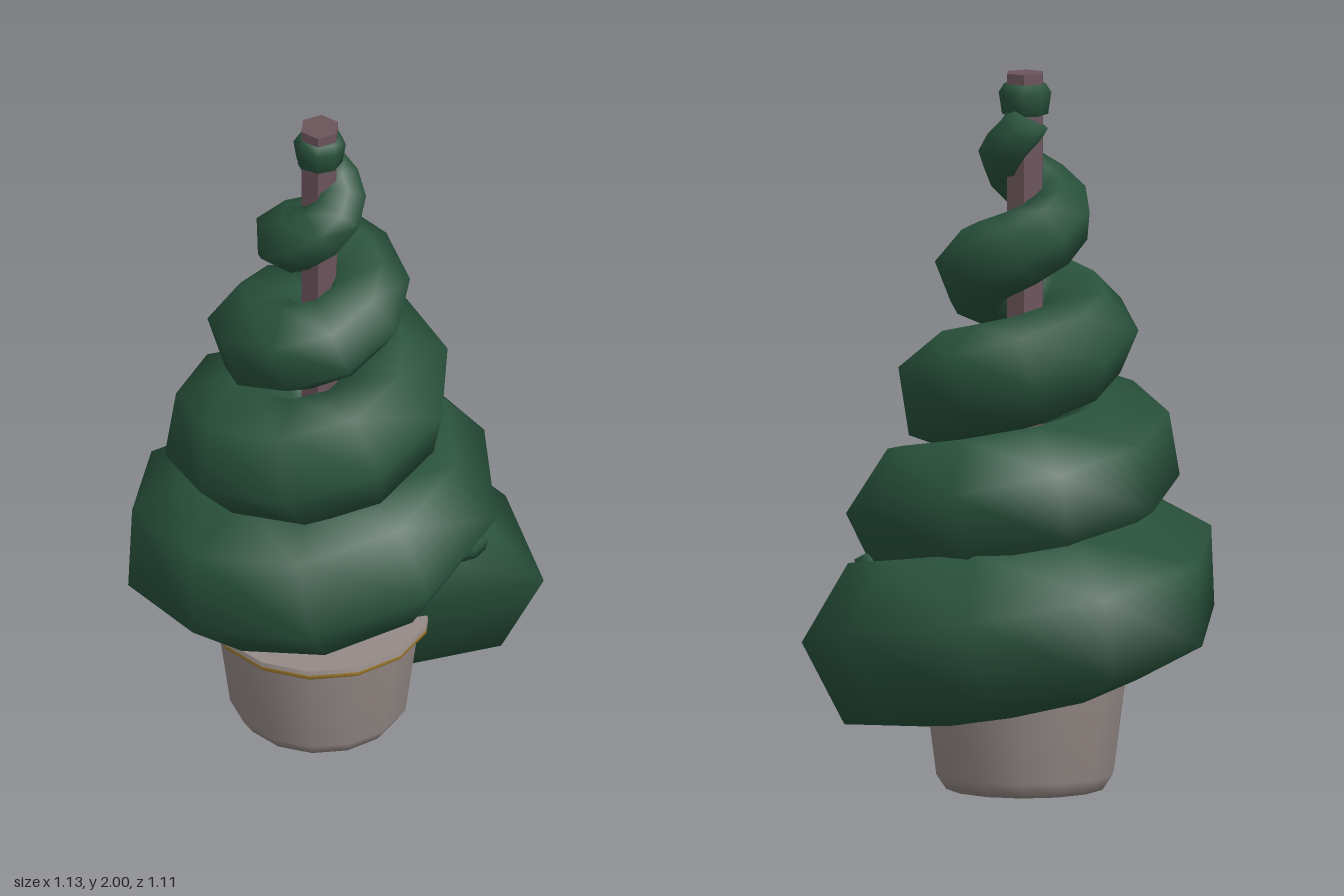
import * as THREE from 'three';

const mat = (name, color) => {
  const m = new THREE.MeshStandardMaterial({ color });
  m.name = name;
  return m;
};

// Tapering six-sided tube that climbs in a helix and twists as it goes
function spiralGeometry(segments, sides) {
  const step = THREE.MathUtils.degToRad(38.85);
  const pos = [], idx = [];
  let twist = 0.07;
  for (let i = 0; i <= segments; i++) {
    const phi = i * step, t = phi / (Math.PI * 2);
    const R = 0.372 - 0.079 * t, s = 0.258 - 0.046 * t;
    const y = 0.395 + 0.365 * t - 0.005 * t * t;
    const tilt = Math.atan2(0.35 / (Math.PI * 2), R);
    // the end rings turn to follow their only neighbouring segment
    const f = phi + (i === 0 ? step / 2 : i === segments ? -step / 2 : 0);
    const centre = new THREE.Vector3(R * Math.cos(phi), y, -R * Math.sin(phi));
    const out = new THREE.Vector3(Math.cos(f), 0, -Math.sin(f));
    const along = new THREE.Vector3(-Math.sin(f), 0, -Math.cos(f));
    const up = new THREE.Vector3(0, Math.cos(tilt), 0).addScaledVector(along, -Math.sin(tilt));
    for (let j = 0; j < sides; j++) {
      const a = twist + (j / sides) * Math.PI * 2;
      const p = centre.clone().addScaledVector(out, s * Math.cos(a)).addScaledVector(up, s * Math.sin(a));
      pos.push(p.x, p.y, p.z);
    }
    twist += step * Math.sin(tilt);
  }
  for (let i = 0; i < segments; i++) {
    for (let j = 0; j < sides; j++) {
      const a = i * sides + j, b = i * sides + ((j + 1) % sides);
      idx.push(a, a + sides, b, b, a + sides, b + sides);
    }
  }
  // end caps, shaded smoothly into the tube
  const last = segments * sides;
  for (let j = 1; j < sides - 1; j++) {
    idx.push(0, j, j + 1, last, last + j + 1, last + j);
  }
  const g = new THREE.BufferGeometry();
  g.setAttribute('position', new THREE.Float32BufferAttribute(pos, 3));
  g.setIndex(idx);
  g.computeVertexNormals();
  return g;
}

const lathe = (pts, sides) =>
  new THREE.LatheGeometry(pts.map(([r, y]) => new THREE.Vector2(r, y)), sides);

export function createModel() {
  const model = new THREE.Group();
  const leaf = mat('leafGreen', 0x295240);
  leaf.color.set(0x29523c);
  const bark = mat('barkBrown', 0x6b545b);
  bark.flatShading = true;
  const clay = mat('potGrey', 0x958a87);
  const gold = mat('rimGold', 0xab8434);

  const add = (name, geometry, material, y = 0) => {
    const m = new THREE.Mesh(geometry, material);
    m.name = name;
    m.position.set(-0.045, y, 0.022);
    model.add(m);
    return m;
  };

  // Pot with rounded foot, gold band and closed top
  add('pot', lathe([[0, 0], [0.222, 0], [0.25, 0.042], [0.285, 0.31]], 14), clay);
  add('potRim', lathe([[0.285, 0.308], [0.3, 0.312], [0.311, 0.322], [0.311, 0.333]], 14), gold);
  add('potLip', new THREE.CylinderGeometry(0.308, 0.311, 0.012, 14), clay, 0.339);

  // Hexagonal trunk
  add('trunk', new THREE.CylinderGeometry(0.056, 0.056, 1.67, 6), bark, 1.165);

  // Spiral foliage, the small tuft at its lower end and the collar at the top
  add('spiralFoliage', spiralGeometry(40, 6), leaf);
  const tuft = add('foliageTuft', new THREE.SphereGeometry(1, 6, 4), leaf);
  tuft.scale.set(0.075, 0.04, 0.05);
  tuft.rotation.z = 0.4;
  tuft.position.set(0.36, 0.6, 0.05);
  add('topCollar', lathe([[0.04, 1.878], [0.064, 1.885], [0.073, 1.945], [0.058, 1.97], [0.04, 1.972]], 8), leaf);

  return model;
}
